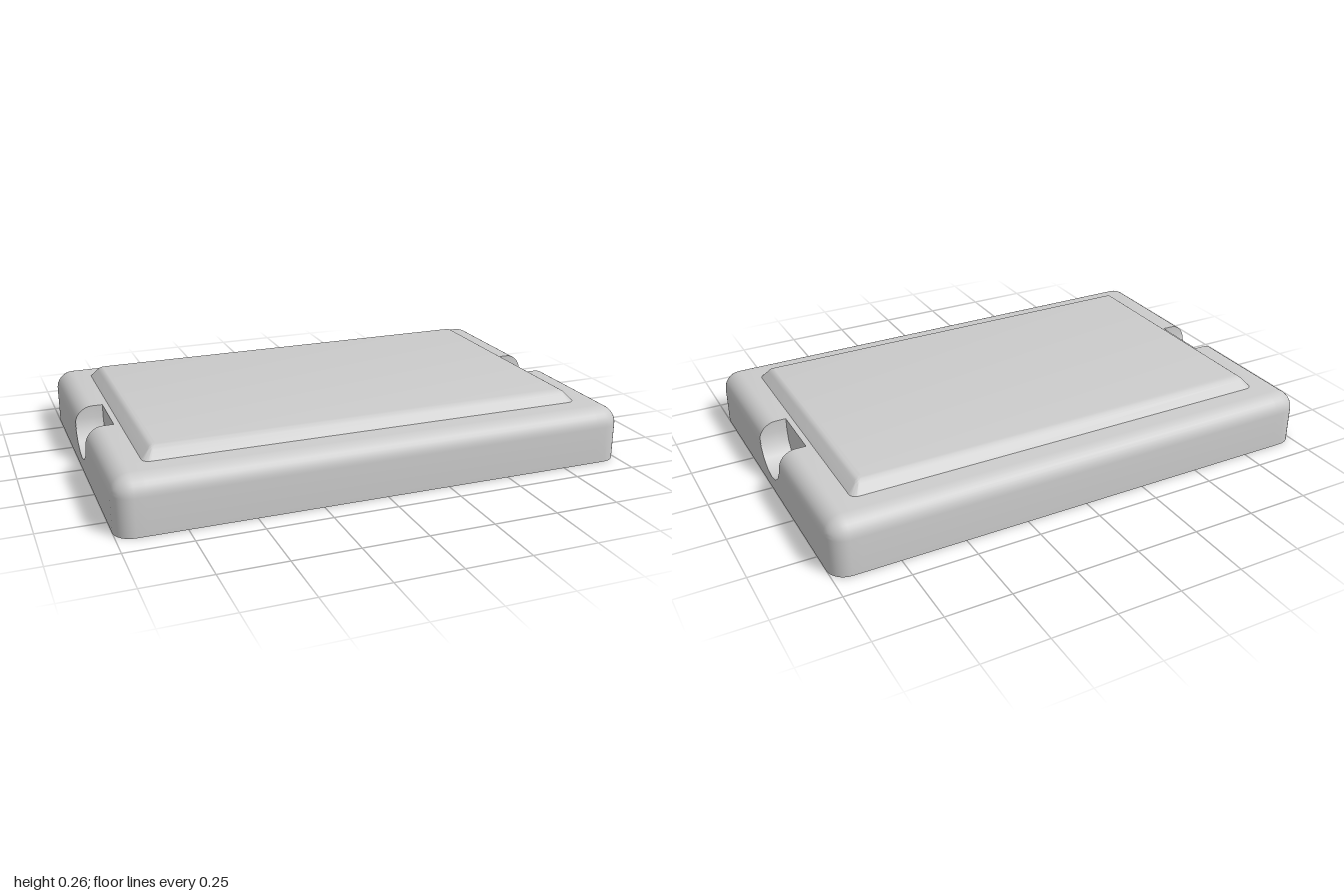
import * as THREE from 'three';
import { toCreasedNormals } from 'three/addons/utils/BufferGeometryUtils.js';

const HX = 1, HZ = 0.66, H = 0.215, R = 0.07, SEG = 8;
const NOTCH = { r: 0.118, y: 0.168, x: 0.89 };

// Skins a list of cross-sections; capStart / capEnd close the first / last one.
function loft(rings, flatten, capStart, capEnd, closed) {
  const pos = [];
  const tri = (a, b, c) => {
    if (new THREE.Triangle(a, b, c).getArea() > 1e-9) {
      for (const p of [a, b, c]) pos.push(p.x, p.y, p.z);
    }
  };
  for (let i = 0; i < rings.length - 1; i++) {
    const A = rings[i], B = rings[i + 1], n = A.length;
    for (let j = 0; j < (closed ? n : n - 1); j++) {
      const k = (j + 1) % n;
      tri(A[j], A[k], B[k]);
      tri(A[j], B[k], B[j]);
    }
  }
  const cap = (ring, flip) => {
    for (const [a, b, c] of THREE.ShapeUtils.triangulateShape(ring.map(flatten), [])) {
      if (flip) tri(ring[a], ring[c], ring[b]);
      else tri(ring[a], ring[b], ring[c]);
    }
  };
  if (capStart) cap(rings[0], true);
  if (capEnd) cap(rings[rings.length - 1], false);
  const g = new THREE.BufferGeometry();
  g.setAttribute('position', new THREE.Float32BufferAttribute(pos, 3));
  return toCreasedNormals(g, 0.5);
}

// Horizontal rounded rectangle at height y
function rectRing(hx, hz, r, y) {
  const pts = [];
  for (let q = 0; q < 4; q++) {
    const sx = q === 0 || q === 3 ? 1 : -1, sz = q < 2 ? -1 : 1;
    for (let i = 0; i <= SEG; i++) {
      const t = (q + i / SEG) * Math.PI / 2;
      pts.push(new THREE.Vector3(sx * (hx - r) + r * Math.cos(t), y, sz * (hz - r) - r * Math.sin(t)));
    }
  }
  return pts;
}

// Slice of the body at x: rounded shoulders, with or without the notch
function bodySection(x, notched) {
  const d = Math.max(0, Math.abs(x) - (HX - R));
  const rho = Math.sqrt(Math.max(0, R * R - d * d));
  const top = H - R + rho, zc = HZ - R;
  const pts = [];
  const add = (z, y) => pts.push(new THREE.Vector3(x, y, z));
  add(-zc - rho, 0);
  for (let i = 0; i <= SEG; i++) {
    const t = i / SEG * Math.PI / 2;
    add(-zc - rho * Math.cos(t), H - R + rho * Math.sin(t));
  }
  add(-NOTCH.r, top);
  for (let i = 0; i <= SEG; i++) {
    const t = i / SEG * Math.PI;
    const y = NOTCH.y - NOTCH.r * Math.sin(t);
    add(-NOTCH.r * Math.cos(t), notched ? Math.min(y, top) : top);
  }
  add(NOTCH.r, top);
  for (let i = SEG; i >= 0; i--) {
    const t = i / SEG * Math.PI / 2;
    add(zc + rho * Math.cos(t), H - R + rho * Math.sin(t));
  }
  add(zc + rho, 0);
  return pts;
}

export function createModel() {
  const group = new THREE.Group();
  const mat = new THREE.MeshStandardMaterial({ color: 0xcccccc });
  const add = (name, geometry) => {
    const m = new THREE.Mesh(geometry, mat);
    m.name = name;
    group.add(m);
  };
  const fromAbove = p => new THREE.Vector2(p.x, -p.z);
  const fromSide = p => new THREE.Vector2(-p.z, p.y);

  // Body with a half-round notch in each end
  const ends = [];
  for (let i = 0; i <= SEG; i++) ends.push(HX - R + R * Math.sin(i / SEG * Math.PI / 2));
  const sections = [
    ...ends.slice().reverse().map(x => bodySection(-x, true)),
    bodySection(-NOTCH.x, true), bodySection(-NOTCH.x, false),
    bodySection(NOTCH.x, false), bodySection(NOTCH.x, true),
    ...ends.map(x => bodySection(x, true)),
  ];
  add('body', loft(sections, fromSide, true, true, false));

  // Underside: shallow recess inside a narrow rim
  add('underside', loft([
    rectRing(HX - 0.05, HZ - 0.05, 0.03, 0.03),
    rectRing(HX - 0.05, HZ - 0.05, 0.03, 0),
    rectRing(HX, HZ, R, 0),
  ], fromAbove, true, false, true));

  // Raised top panel with sloping, softened edges: [inset, height]
  const profile = [[0, H - 0.002], [0.029, 0.245], [0.035, 0.251], [0.042, 0.2555], [0.05, 0.2585], [0.058, 0.26]];
  add('topPanel', loft(
    profile.map(([s, y]) => rectRing(0.87 - s, 0.527 - s, Math.max(0.008, 0.03 - s * 0.5), y)),
    fromAbove, false, true, true));

  return group;
}
